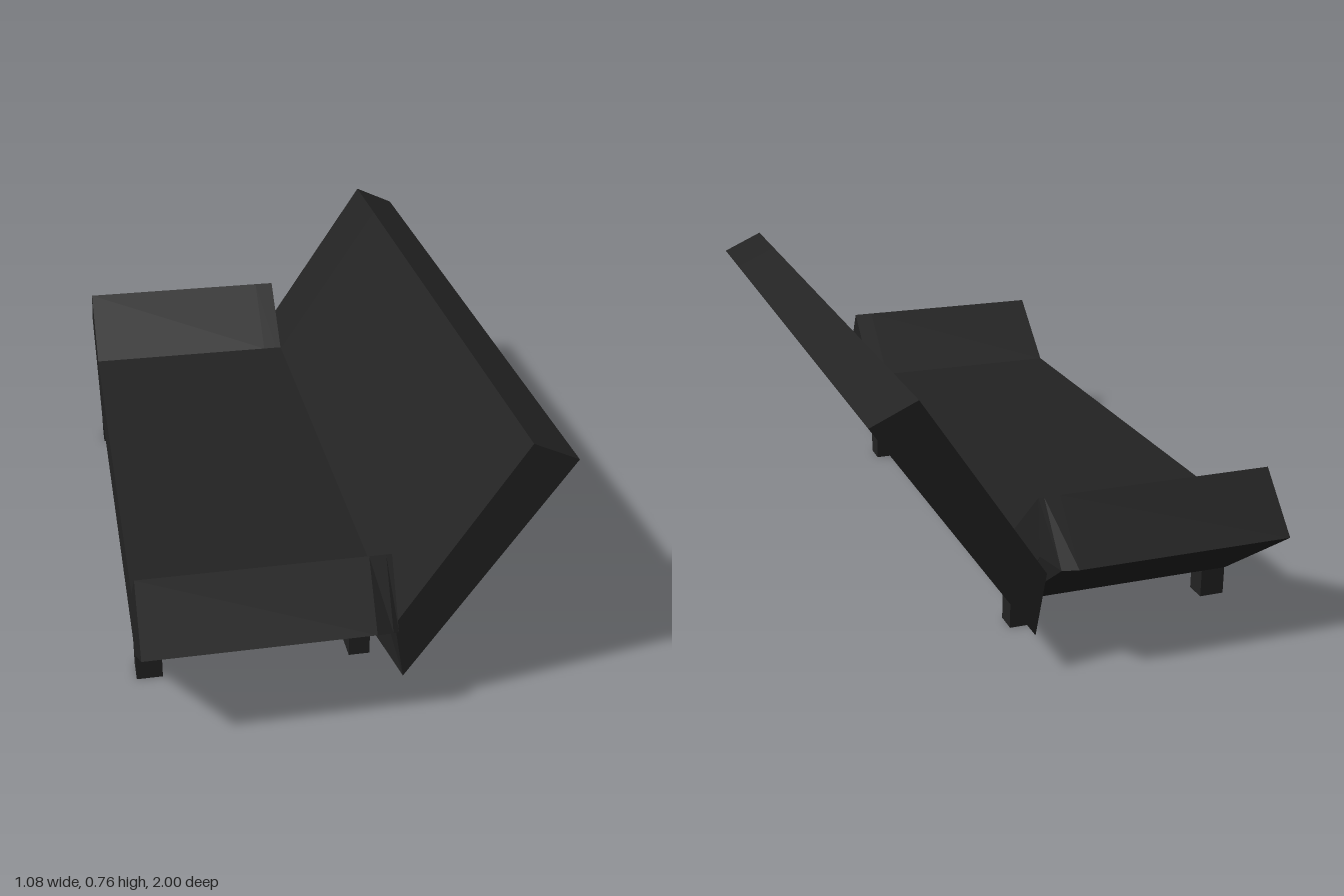
import * as THREE from 'three';

// Closed faceted solid through matching counter-clockwise loops placed along z
function loft(sections) {
  const pos = [];
  const point = (s, i) => pos.push(s.loop[i][0], s.loop[i][1], s.at);
  for (let k = 0; k < sections.length - 1; k++) {
    const a = sections[k], b = sections[k + 1], n = a.loop.length;
    for (let i = 0; i < n; i++) {
      const j = (i + 1) % n;
      point(a, i); point(a, j); point(b, j);
      point(a, i); point(b, j); point(b, i);
    }
  }
  const cap = (s, flip) => {
    const contour = s.loop.map(([u, v]) => new THREE.Vector2(u, v));
    for (const [i, j, k] of THREE.ShapeUtils.triangulateShape(contour, [])) {
      for (const m of flip ? [k, j, i] : [i, j, k]) point(s, m);
    }
  };
  cap(sections[0], true);
  cap(sections[sections.length - 1], false);
  const g = new THREE.BufferGeometry();
  g.setAttribute('position', new THREE.Float32BufferAttribute(pos, 3));
  g.computeVertexNormals();
  return g;
}

export function createModel() {
  const group = new THREE.Group();
  group.name = 'sofa';
  const charcoal = new THREE.MeshStandardMaterial({ color: 0x232323 });
  charcoal.name = 'charcoal';

  const add = (name, geometry) => {
    const mesh = new THREE.Mesh(geometry, charcoal);
    mesh.name = name;
    group.add(mesh);
    return mesh;
  };

  // Seat with flared arms: one cross-section run from the front edge to the back,
  // with the arm tips cut in slightly at the back corners
  const seatLoop = (tipA, tipB) => [
    [-0.7, 0.08], [0.69, 0.08], tipA, [0.87, 0.45],
    [0.69, 0.28], [-0.7, 0.28], [-0.89, 0.45], tipB,
  ];
  const seat = loft([
    { at: -0.54, loop: seatLoop([1, 0.305], [-1, 0.29]) },
    { at: 0.04, loop: seatLoop([1, 0.305], [-1, 0.29]) },
    { at: 0.083, loop: seatLoop([0.99, 0.305], [-0.99, 0.283]) },
    { at: 0.098, loop: seatLoop([0.89, 0.3], [-0.985, 0.28]) },
  ]);
  seat.rotateY(Math.PI / 2);
  add('seatAndArms', seat);

  // Reclined backrest whose lower edge rises toward both ends
  const backLoop = (x, y) => [[x, y], [0.54, 0.705], [0.42, 0.76], [0.098, 0.275]];
  add('backrest', loft([
    { at: -0.935, loop: backLoop(0.125, 0.11) },
    { at: -0.69, loop: backLoop(0.102, 0.08) },
    { at: 0.7, loop: backLoop(0.102, 0.08) },
    { at: 0.945, loop: backLoop(0.125, 0.11) },
  ]));

  // Four short block legs
  for (const [x, w] of [[-0.505, 0.07], [0.069, 0.058]]) {
    for (const [z, d] of [[0.665, 0.07], [-0.658, 0.06]]) {
      add('leg', new THREE.BoxGeometry(w, 0.09, d)).position.set(x, 0.045, z);
    }
  }
  return group;
}
